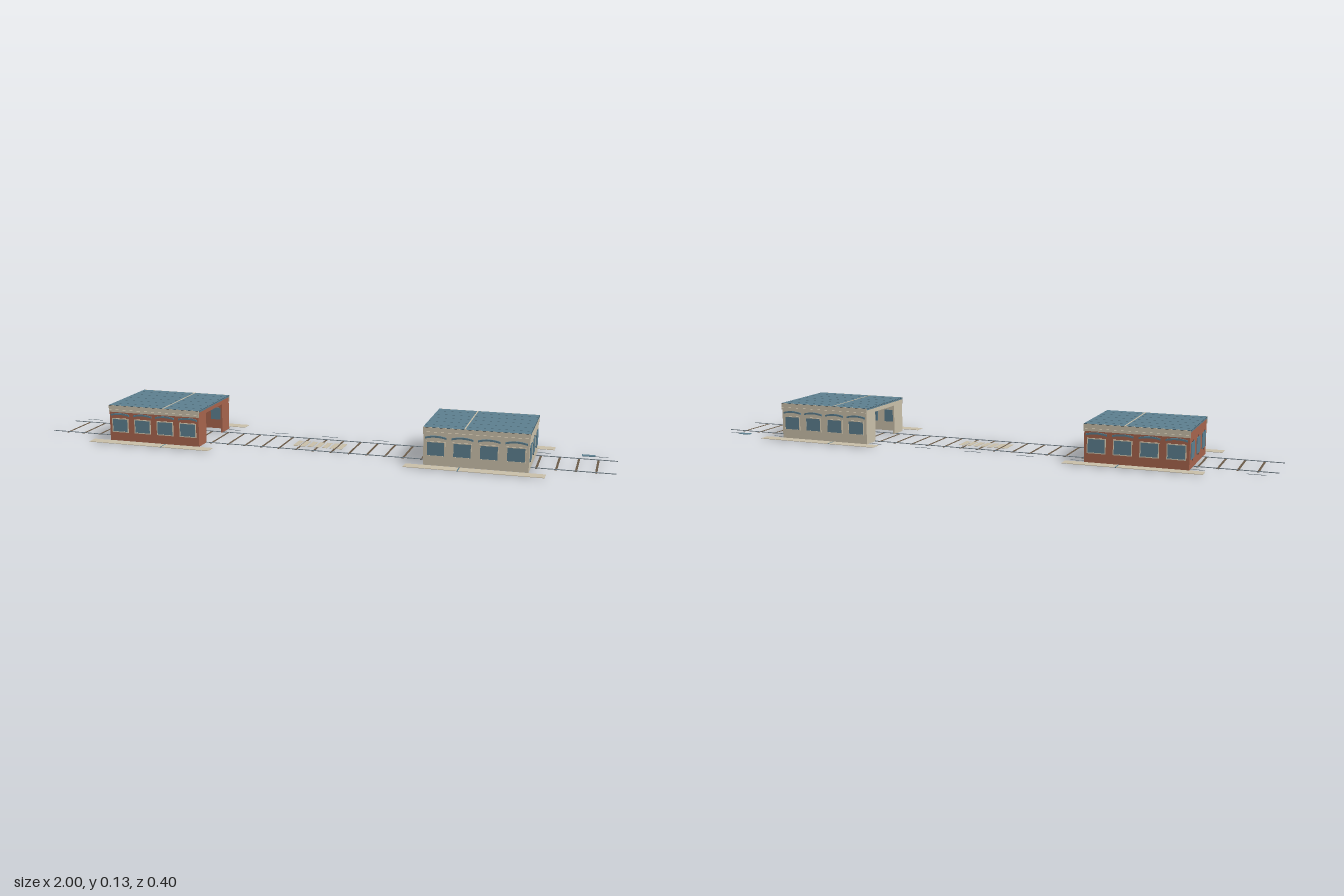
import * as THREE from 'three';

const mat = (name, color) => {
  const m = new THREE.MeshStandardMaterial({ color });
  m.name = name;
  return m;
};

export function createModel() {
  const M = {
    stone: mat('stone', 0xc8bea8),
    brick: mat('brick', 0xa5634c),
    slate: mat('slate blue', 0x5c7e8e),
    dark: mat('dark iron', 0x2b363c),
    steel: mat('rail steel', 0x76838c),
    timber: mat('timber', 0x6a5a48),
  };
  const root = new THREE.Group();
  root.name = 'railwayStations';

  // Box given by its centre and size
  const box = (parent, name, m, x, y, z, w, h, d) => {
    const mesh = new THREE.Mesh(new THREE.BoxGeometry(w, h, d), m);
    mesh.name = name;
    mesh.position.set(x, y, z);
    parent.add(mesh);
    return mesh;
  };

  // Shallow arched canopy over a side window
  const canopyShape = new THREE.Shape();
  canopyShape.moveTo(-0.035, 0);
  canopyShape.quadraticCurveTo(0, 0.01, 0.035, 0);
  canopyShape.lineTo(0.035, -0.006);
  canopyShape.quadraticCurveTo(0, 0.004, -0.035, -0.006);
  const canopyGeo = new THREE.ExtrudeGeometry(canopyShape, { depth: 0.004, bevelEnabled: false, curveSegments: 8 });

  // Station hall: outer gable is glazed, inner gable is an open portal
  const hall = (name, cx, out, wall) => {
    const g = new THREE.Group();
    g.name = name;
    g.position.x = cx;
    root.add(g);
    const L = 0.34, D = 0.28, H = 0.12, T = 0.006;

    for (const s of [1, -1]) {
      const side = new THREE.Group();
      side.name = 'sideWall';
      if (s < 0) side.rotation.y = Math.PI;
      g.add(side);
      box(side, 'wall', wall, 0, H / 2, D / 2 - T / 2, L, H, T);
      box(side, 'fascia', M.stone, 0, 0.115, 0.1407, L + 0.004, 0.024, 0.0014);
      box(side, 'cornice', M.stone, 0, 0.11, 0.1425, L, 0.004, 0.004);
      for (let i = 0; i < 4; i++) {
        const x = (i - 1.5) * 0.086;
        box(side, 'windowPane', M.slate, x, 0.056, D / 2 - T / 2, 0.056, 0.044, T + 0.005);
        for (const e of [1, -1]) {
          box(side, 'windowJamb', M.stone, x + e * 0.0295, 0.056, 0.1415, 0.003, 0.05, 0.004);
          box(side, 'windowRail', M.stone, x, 0.056 + e * 0.0235, 0.1415, 0.062, 0.003, 0.004);
        }
        const canopy = new THREE.Mesh(canopyGeo, M.slate);
        canopy.name = 'windowCanopy';
        canopy.position.set(x, 0.095, 0.14);
        side.add(canopy);
      }
    }

    // Glazed outer gable
    const ex = out * (L / 2 - T / 2);
    box(g, 'endWall', wall, ex, H / 2, 0, T, H, D - 2 * T);
    for (const z of [-0.094, 0, 0.094]) {
      box(g, 'endWindowPane', M.slate, ex, 0.057, z, T + 0.004, 0.053, 0.056);
      box(g, 'endWindowMullion', M.dark, ex, 0.057, z, T + 0.002, 0.066, 0.004);
    }

    // Open inner portal with broad piers
    for (const s of [1, -1])
      box(g, 'portalPier', wall, -ex, H / 2, s * 0.104, T, H, 0.06);
    box(g, 'portalHeader', wall, -ex, 0.113, 0, T, 0.014, 0.148);

    // Roof with fine ribs and an expansion joint
    box(g, 'roof', M.slate, 0, 0.1235, 0, L + 0.004, 0.006, D);
    box(g, 'roofEdge', M.dark, 0, 0.1262, 0, L + 0.005, 0.0006, D + 0.003);
    box(g, 'roofSheet', M.slate, 0, 0.1267, 0, L + 0.004, 0.0006, D + 0.002);
    box(g, 'roofJoint', M.stone, -out * 0.037, 0.1273, 0, 0.004, 0.0012, D);
    for (let i = 0; i < 5; i++)
      box(g, 'roofRib', M.slate, 0, 0.1272, (i - 2) * 0.052, L, 0.0006, 0.002);

    // Roof trusses inside the hall
    for (let i = 0; i < 5; i++) {
      const x = (i - 2) * 0.07;
      box(g, 'trussChord', M.dark, x, 0.104, 0, 0.004, 0.004, D - 2 * T);
      for (let k = 0; k < 6; k++) {
        const web = box(g, 'trussWeb', M.dark, x, 0.112, (k - 2.5) * 0.044, 0.003, 0.003, 0.046);
        web.rotation.x = (k % 2 ? 1 : -1) * 0.33;
      }
    }
    for (const z of [-0.09, 0.09])
      box(g, 'purlin', M.dark, 0, 0.118, z, L - 2 * T, 0.004, 0.004);
  };
  hall('brickStation', -0.565, -1, M.brick);
  hall('stoneStation', 0.5625, 1, M.stone);

  // Platforms on both sides of each hall
  for (const sx of [1, -1])
    for (const sz of [1, -1]) {
      box(root, 'platform', M.stone, sx * 0.563, 0.004, sz * 0.178, 0.45, 0.0016, 0.04);
      box(root, 'platformJoint', M.slate, sx * 0.515, 0.0041, sz * 0.178, 0.004, 0.0018, 0.0402);
    }

  // Track
  for (const s of [1, -1])
    box(root, 'rail', M.steel, 0, 0.0018, s * 0.079, 2, 0.0022, 0.003);
  for (let i = -15; i <= 15; i++)
    box(root, 'sleeper', M.timber, i * 0.0625, 0.0004, 0, 0.007, 0.0008, 0.172);

  // Boarded foot crossing
  for (let i = 0; i < 7; i++)
    box(root, 'crossingBoard', M.stone, (i - 3) * 0.0265, 0.0018, 0, 0.018, 0.0012, 0.07);

  // Dashed cable cover beside the track
  for (let i = -5; i <= 5; i++)
    box(root, 'cableCover', M.steel, i * 0.1875, 0.0008, -0.122, 0.06, 0.001, 0.003);

  // Small equipment plate
  box(root, 'equipmentPlate', M.slate, 0.903, 0.001, -0.128, 0.044, 0.0016, 0.021);

  return root;
}
